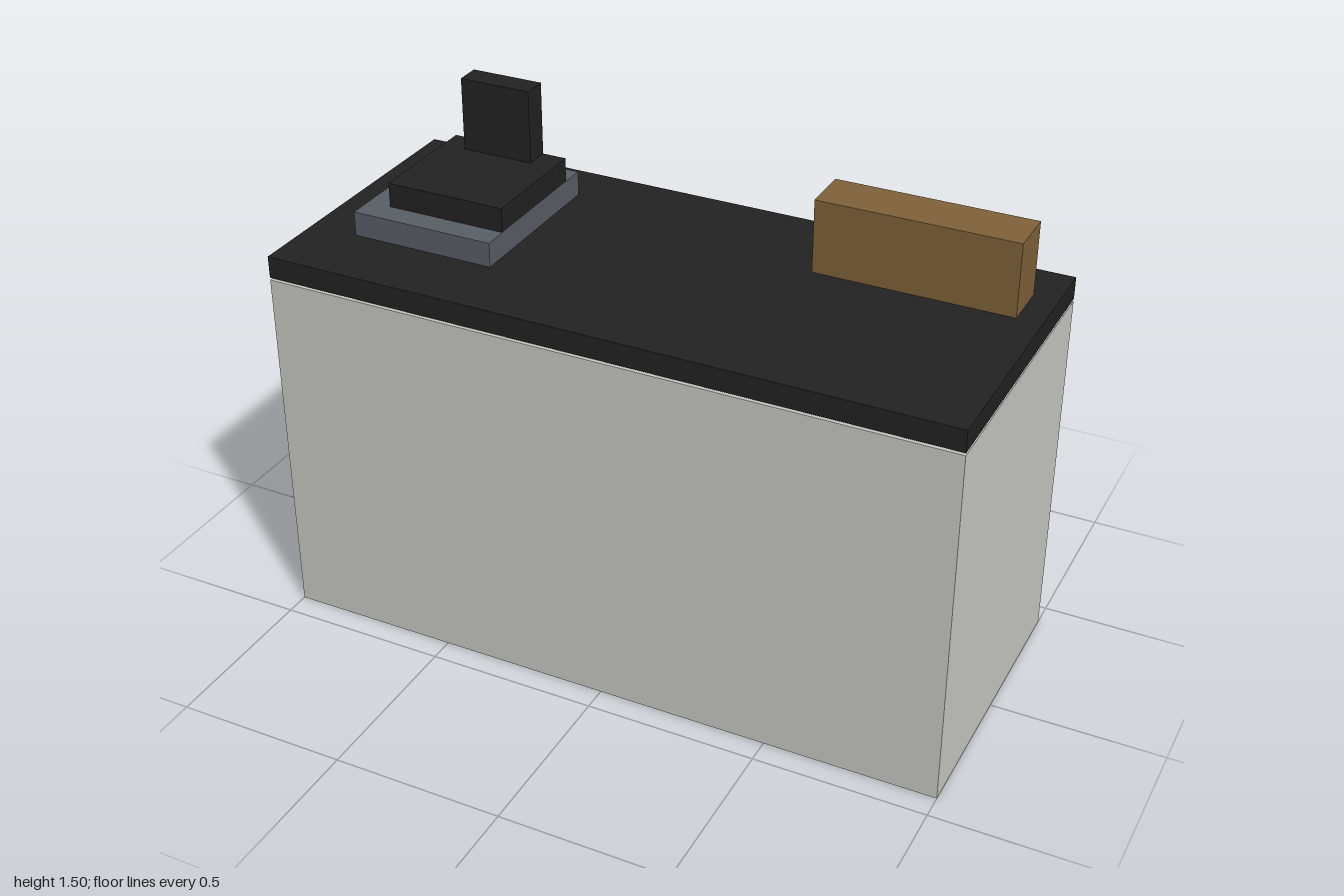
import * as THREE from 'three';

const U = 1 / 14; // the model sits on a regular grid of this step

function material(name, color, side = THREE.FrontSide) {
  const m = new THREE.MeshStandardMaterial({ color, side });
  m.name = name;
  return m;
}

// Box given by its two opposite corners, in grid steps
function block(name, mat, [x0, y0, z0], [x1, y1, z1]) {
  const geometry = new THREE.BoxGeometry((x1 - x0) * U, (y1 - y0) * U, (z1 - z0) * U);
  const mesh = new THREE.Mesh(geometry, mat);
  mesh.name = name;
  mesh.position.set((x0 + x1) * U / 2, (y0 + y1) * U / 2, (z0 + z1) * U / 2);
  return mesh;
}

export function createModel() {
  const paleGrey = material('pale grey', 0xc9c9c4, THREE.DoubleSide);
  const black = material('black', 0x222222);
  const slate = material('slate grey', 0x5a5e66);
  const wood = material('brown wood', 0x80623a);

  const model = new THREE.Group();
  model.name = 'shopCounter';

  // Hollow cabinet, open at the floor: drop the box's bottom face
  const cabinet = block('cabinet', paleGrey, [-14, 0, -6], [14, 15, 6]);
  const index = Array.from(cabinet.geometry.index.array);
  index.splice(18, 6);
  cabinet.geometry.setIndex(index);
  cabinet.geometry.clearGroups();
  model.add(cabinet);

  // Worktop floats a hair above the cabinet
  model.add(block('worktop', black, [-14, 15.1, -6], [14, 16, 6]));

  // Stepped till with an upright screen
  const till = new THREE.Group();
  till.name = 'till';
  till.add(
    block('tillBase', slate, [-12, 15, -4], [-6, 17, 3]),
    block('tillBody', black, [-11, 17, -3], [-6, 18, 2]),
    block('tillScreen', black, [-10, 18, -3], [-7, 21, -2])
  );
  model.add(till);

  // Wooden box at the back of the worktop
  model.add(block('woodenBox', wood, [5, 15, -4], [13, 19, -2]));

  return model;
}
